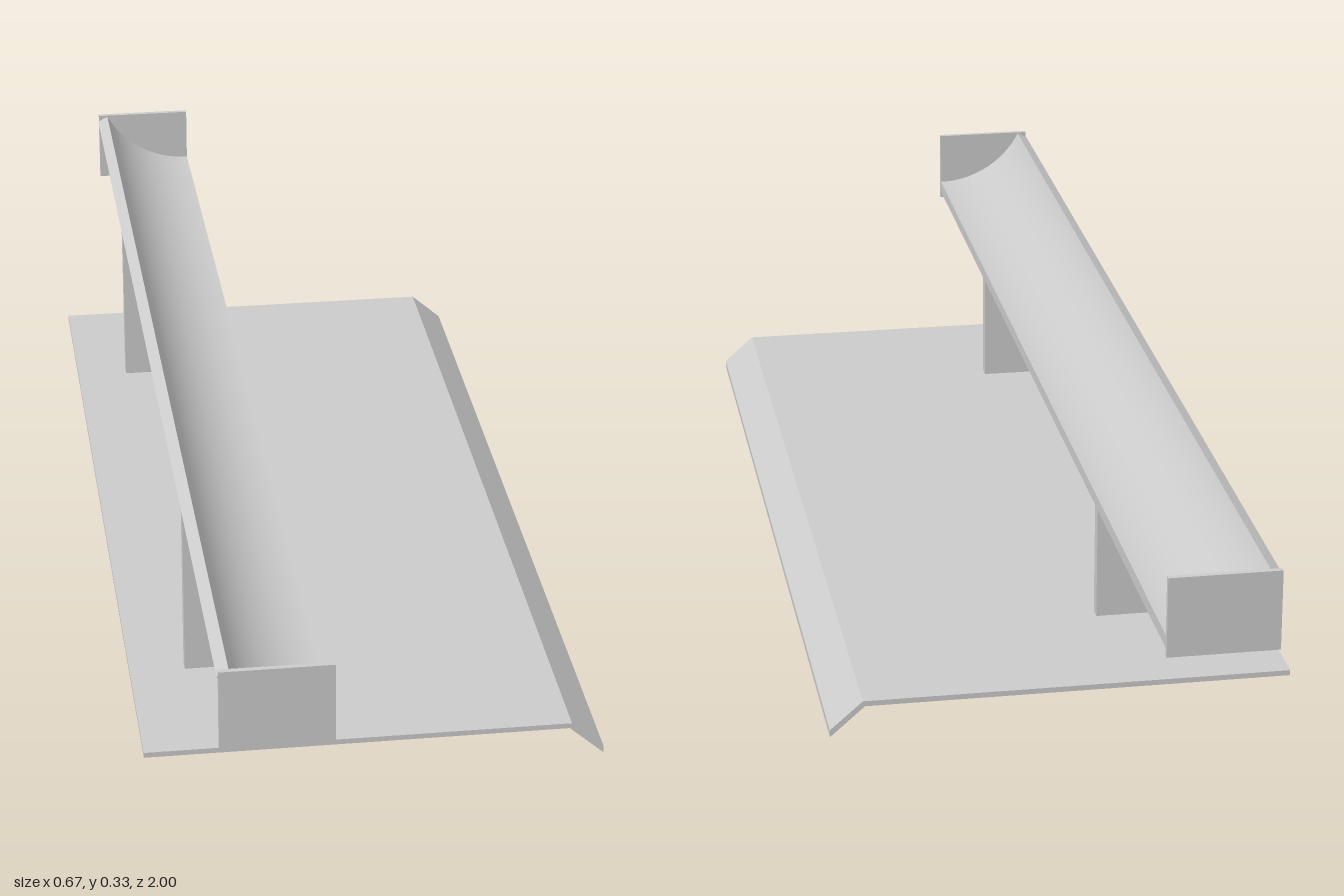
import * as THREE from 'three';

const material = new THREE.MeshStandardMaterial({ color: 0xcccccc });

// Trough arc: shared centre, inner and outer radius, start and end angles
const CX = -0.097, CY = 0.404, R_IN = 0.16, R_OUT = 0.179;
const A0 = Math.PI * 1.153, A1 = Math.PI * 1.5;
const BACK = -0.254, FRONT = -0.095;

function arc(radius, from, to, n = 32) {
  return Array.from({ length: n + 1 }, (_, i) => {
    const a = from + (to - from) * i / n;
    return new THREE.Vector2(CX + radius * Math.cos(a), CY + radius * Math.sin(a));
  });
}

// Extrude an x-y outline along z, centred on z
function slab(name, points, depth, z = 0) {
  const geometry = new THREE.ExtrudeGeometry(new THREE.Shape(points), { depth, bevelEnabled: false });
  geometry.translate(0, 0, z - depth / 2);
  const mesh = new THREE.Mesh(geometry, material);
  mesh.name = name;
  return mesh;
}

const outline = (pairs) => pairs.map(([x, y]) => new THREE.Vector2(x, y));

// Smooth the long curved faces using the exact radial direction
function smoothTrough(mesh) {
  const p = mesh.geometry.attributes.position, n = mesh.geometry.attributes.normal;
  for (let i = 0; i < p.count; i++) {
    if (Math.abs(n.getZ(i)) > 0.5) continue;
    const r = new THREE.Vector2(p.getX(i) - CX, p.getY(i) - CY).normalize();
    const d = r.x * n.getX(i) + r.y * n.getY(i);
    if (Math.abs(d) > 0.9) n.setXYZ(i, r.x * Math.sign(d), r.y * Math.sign(d), 0);
  }
}

export function createModel() {
  const model = new THREE.Group();
  model.name = 'troughStand';

  // Base sheet with a bent-down front flange
  model.add(slab('basePlate', outline([
    [-0.336, 0.045], [0.284, 0.045], [0.335, 0.0], [0.335, 0.011], [0.287, 0.053], [-0.336, 0.053],
  ]), 1.484));

  // Curved trough shell
  const trough = slab('trough', [
    ...arc(R_OUT, A0, A1), new THREE.Vector2(FRONT, CY - R_OUT),
    new THREE.Vector2(FRONT, CY - R_IN), ...arc(R_IN, A1, A0),
  ], 1.984);
  smoothTrough(trough);
  model.add(trough);

  // Mirrored supports, cut to the underside of the trough, and end caps
  const supportStart = Math.PI + Math.acos((CX - BACK) / R_OUT);
  for (const side of [-1, 1]) {
    model.add(slab('support', [
      new THREE.Vector2(BACK, 0.053), new THREE.Vector2(FRONT, 0.053),
      new THREE.Vector2(FRONT, CY - R_OUT), ...arc(R_OUT, A1, supportStart),
    ], 0.02, side * 0.505));
    model.add(slab('endCap', outline([
      [BACK, 0.214], [FRONT, 0.214], [FRONT, 0.332], [BACK, 0.332],
    ]), 0.008, side * 0.996));
  }
  return model;
}
